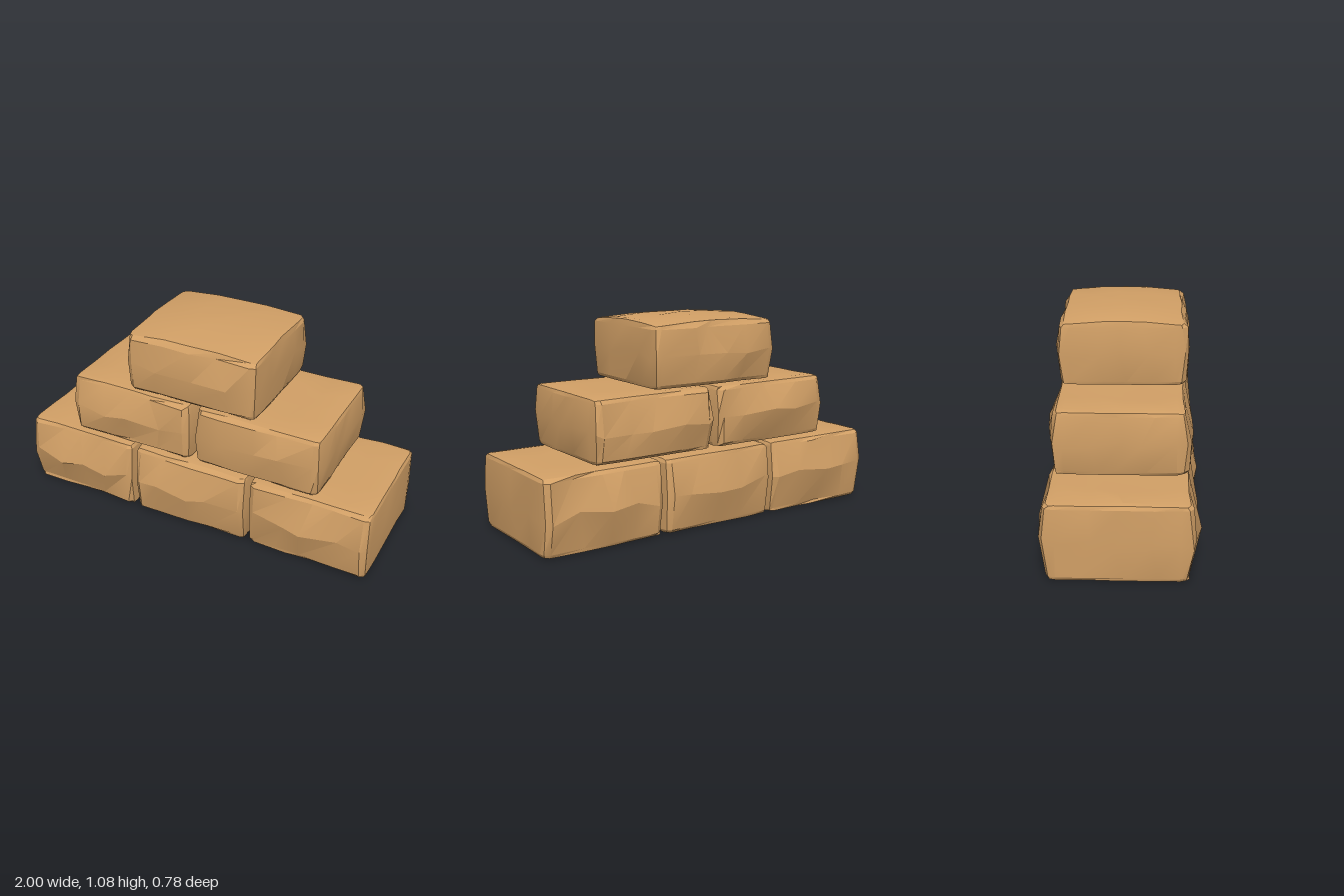
import * as THREE from 'three';
import { toCreasedNormals } from 'three/addons/utils/BufferGeometryUtils.js';

const SEG = [6, 4, 6];           // grid cells per axis
const RADIUS = [0.035, 0.025, 0.05]; // edge rounding per axis

// Repeatable noise in -1..1, the same for every copy of a grid point
function noise(a, b, c, seed) {
  const s = Math.sin(a * 12.99 + b * 78.23 + c * 37.72 + seed * 51.37) * 43758.5453;
  return (s - Math.floor(s)) * 2 - 1;
}

// Rough-hewn stone: rounded box with swollen, unevenly chipped faces
function stoneGeometry(half, bulge, seed) {
  const geo = new THREE.BoxGeometry(2, 2, 2, ...SEG);
  const pos = geo.attributes.position;
  for (let i = 0; i < pos.count; i++) {
    const p = [pos.getX(i), pos.getY(i), pos.getZ(i)];
    const id = p.map((v, a) => Math.round((v + 1) * SEG[a] / 2));
    const n = k => noise(id[0], id[1], id[2], seed + k);
    const u = [], off = [];
    for (let a = 0; a < 3; a++) {
      const edge = id[a] === 0 || id[a] === SEG[a];
      // Outer grid line becomes the rounding, the rest spreads over the flat face
      u[a] = edge ? Math.sign(p[a]) : p[a] / (1 - 2 / SEG[a]);
      off[a] = edge ? Math.sign(p[a]) : 0;
      if (!edge && Math.abs(u[a]) < 0.99) u[a] += n(a) * 0.16;
    }
    const len = Math.hypot(...off);
    const q = u.map((v, a) => v * (half[a] - RADIUS[a]) + off[a] / len * RADIUS[a]);
    // Swell each face towards its middle
    const dome = u.map(v => Math.max(0, 1 - v * v));
    q[0] += off[0] * bulge[0] * dome[1];
    q[1] += off[1] * (off[1] > 0 ? bulge[1] : 0) * (dome[0] + dome[2]) / 2;
    q[2] += off[2] * bulge[2] * (0.55 * dome[1] + 0.45 * dome[0] * dome[1]);
    // Chisel marks, strongest on front and back
    if (len < 1.1) {
      q[0] += off[0] * (n(5) - 1) * 0.003;
      q[1] += off[1] * (n(6) - 1) * 0.002;
      q[2] += off[2] * n(7) * 0.012;
    } else {
      q[0] += off[0] * n(8) * 0.004;
      q[2] += off[2] * n(9) * 0.007;
    }
    pos.setXYZ(i, ...q);
  }
  geo.deleteAttribute('normal');
  return toCreasedNormals(geo, THREE.MathUtils.degToRad(20));
}

export function createModel() {
  const group = new THREE.Group();
  group.name = 'stonePile';
  const sandstone = new THREE.MeshStandardMaterial({ color: 0xd2a066 });
  sandstone.name = 'sandstone';

  // Courses from the ground up: y range, half depth, swelling, x range of each stone
  const courses = [
    { name: 'bottomStone', y: [0, 0.395], depth: 0.338, bulge: [0.004, 0, 0.045],
      spans: [[-0.996, -0.345], [-0.33, 0.325], [0.342, 0.996]] },
    { name: 'middleStone', y: [0.4, 0.727], depth: 0.318, bulge: [0.012, 0, 0.038],
      spans: [[-0.708, -0.006], [0.028, 0.708]] },
    { name: 'topStone', y: [0.73, 1.054], depth: 0.31, bulge: [0.006, 0.028, 0.033],
      spans: [[-0.365, 0.36]] },
  ];
  let seed = 1;
  for (const { name, y, depth, bulge, spans } of courses) {
    spans.forEach(([x0, x1], i) => {
      const half = [(x1 - x0) / 2, (y[1] - y[0]) / 2, depth];
      const stone = new THREE.Mesh(stoneGeometry(half, bulge, seed++), sandstone);
      stone.name = name + (i + 1);
      stone.position.set((x0 + x1) / 2, (y[0] + y[1]) / 2, 0);
      group.add(stone);
    });
  }
  return group;
}
